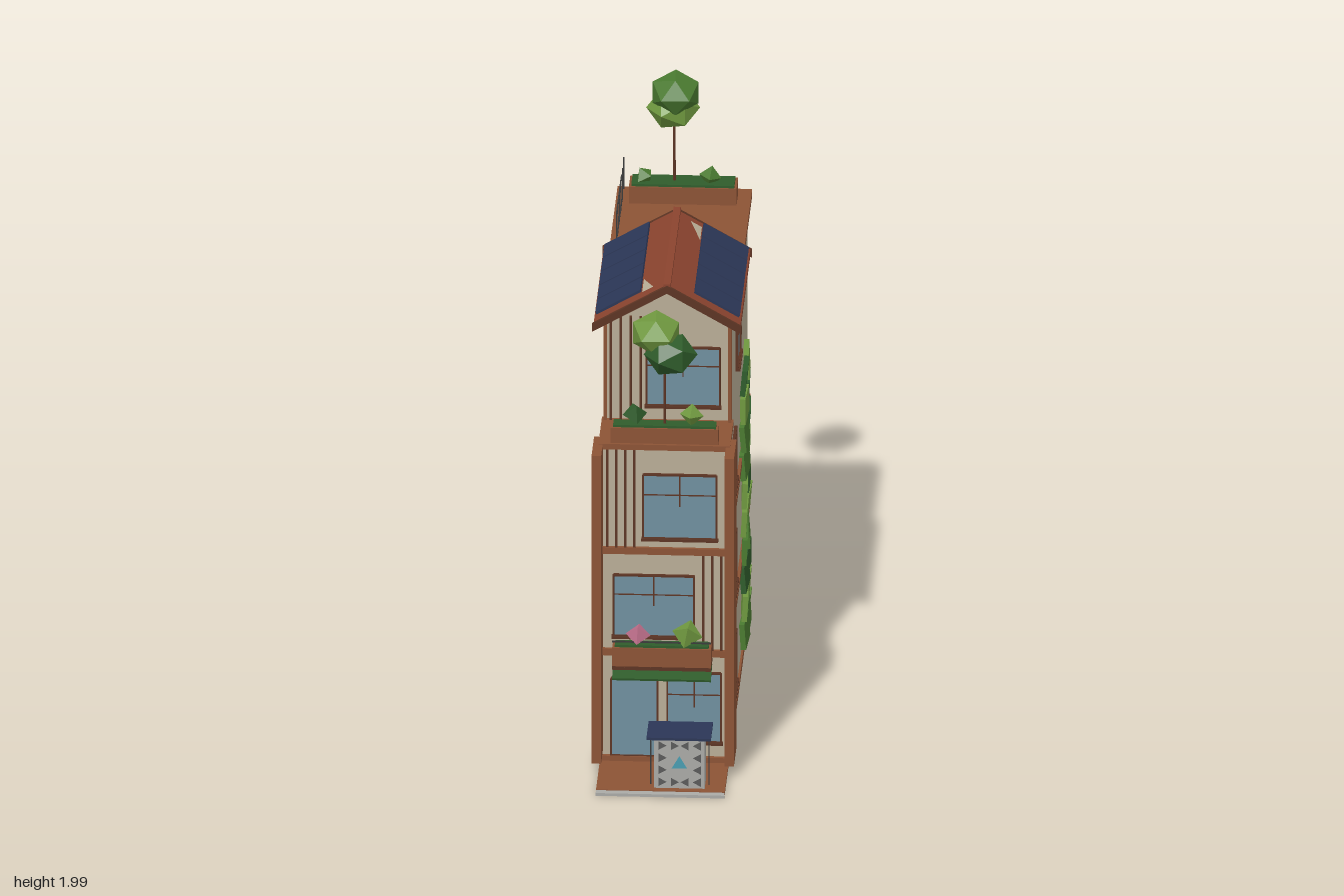
import * as THREE from 'three';

const C = {
  wall: 0xb9ad96, brown: 0x8c5335, dark: 0x5c3423, roof: 0x8a432e, glass: 0x6f8f9f, navy: 0x2b3656,
  g1: 0x6f983f, g2: 0x4a7a30, g3: 0x2f5c2b, metal: 0x3a3a3a, grey: 0xaaaaa6, lawn: 0x5f8a3c,
  pink: 0xc0708c, teal: 0x4a9db0, char: 0x5a5a5a,
};
const mats = {};
const mat = (c) => (mats[c] ??= new THREE.MeshStandardMaterial({ color: C[c], flatShading: true, side: THREE.DoubleSide }));

let seed = 7;
const rnd = () => (seed = (seed * 16807) % 2147483647) / 2147483647;

export function createModel() {
  const root = new THREE.Group();
  root.name = 'townHouse';

  const add = (name, geo, c, parent = root) => {
    const m = new THREE.Mesh(geo, mat(c));
    m.name = name;
    parent.add(m);
    return m;
  };
  // Box given by its limits on each axis
  const box = (name, c, x0, x1, y0, y1, z0, z1, parent) => {
    const m = add(name, new THREE.BoxGeometry(x1 - x0, y1 - y0, z1 - z0), c, parent);
    m.position.set((x0 + x1) / 2, (y0 + y1) / 2, (z0 + z1) / 2);
    return m;
  };
  const extrude = (name, c, pts, z0, z1) => {
    const shape = new THREE.Shape(pts.map(([x, y]) => new THREE.Vector2(x, y)));
    const m = add(name, new THREE.ExtrudeGeometry(shape, { depth: z1 - z0, bevelEnabled: false }), c);
    m.position.z = z0;
    return m;
  };

  // Ground strip
  box('frontPaving', 'brown', -0.215, 0.215, 0, 0.012, 0.55, 0.86);
  box('kerb', 'grey', -0.215, 0.215, 0, 0.01, 0.86, 0.885);
  box('rearPath', 'grey', -0.215, 0.215, 0, 0.01, -0.71, -0.66);
  box('lawn', 'lawn', -0.215, 0.215, 0, 0.012, -0.845, -0.71);

  // Walls and floor bands
  box('plinth', 'brown', -0.217, 0.217, 0, 0.03, -0.675, 0.62);
  box('lowerWalls', 'wall', -0.21, 0.21, 0.03, 1.15, -0.67, 0.605);
  box('upperWalls', 'wall', -0.21, 0.21, 1.15, 1.51, -0.67, 0.4);
  for (const y of [0.395, 0.765]) box('floorBand', 'brown', -0.22, 0.22, y, y + 0.024, -0.68, 0.617);
  box('terraceFloor', 'brown', -0.22, 0.22, 1.145, 1.165, 0.39, 0.615);
  box('flatRoof', 'brown', -0.225, 0.225, 1.51, 1.535, -0.68, -0.19);
  for (const s of [-1, 1]) {
    const fin = box('sideFin', 'brown', -0.016, 0.016, 0.04, 1.162, 0.55, 0.71);
    fin.position.x = s * 0.222;
  }

  // Gabled roof
  extrude('gable', 'wall', [[-0.21, 1.5], [0.21, 1.5], [0, 1.645]], -0.19, 0.4);
  extrude('pitchedRoof', 'roof',
    [[-0.245, 1.508], [-0.245, 1.53], [0, 1.67], [0.245, 1.53], [0.245, 1.508], [0, 1.648]], -0.2, 0.44);
  for (const z of [-0.203, 0.437]) {
    extrude('bargeBoard', 'dark',
      [[-0.25, 1.5], [-0.25, 1.528], [0, 1.672], [0.25, 1.528], [0.25, 1.5], [0, 1.644]], z, z + 0.012);
  }
  box('ridge', 'roof', -0.012, 0.012, 1.66, 1.676, -0.2, 0.445);
  const pitch = Math.atan2(0.14, 0.245);
  for (const s of [-1, 1]) {
    const slope = new THREE.Group();
    slope.name = 'solarArray';
    slope.position.set(s * 0.163, 1.585, 0);
    slope.rotation.z = -s * pitch;
    root.add(slope);
    for (let i = 0; i < 5; i++) {
      const z = -0.167 + i * 0.115;
      box('solarPanel', 'navy', -0.086, 0.086, 0, 0.008, z, z + 0.108, slope);
    }
    // Pale flashing beside the panels
    const tri = new THREE.Shape([[0.045, 0.15], [0.088, 0.15], [0.088, 0.04]].map((p) => new THREE.Vector2(...p)));
    const patch = add('roofFlashing', new THREE.ShapeGeometry(tri).rotateX(-Math.PI / 2), 'wall');
    patch.geometry.translate(-0.0665, 0, 0);
    patch.rotation.order = 'YXZ';
    patch.rotation.set(0, s > 0 ? 0 : Math.PI, -pitch);
    patch.position.set(s * 0.0665, 1.637, s > 0 ? 0 : 0.25);
  }

  // Framed window facing +z, then turned to its wall
  const pane = (name, w, h, x, y, z, turn = 0, sill = true) => {
    const g = new THREE.Group();
    g.name = name;
    const a = w / 2, b = h / 2, t = 0.006;
    box('glass', 'glass', -a, a, -b, b, -0.005, 0.005, g);
    for (const s of [-1, 1]) {
      box('frameSide', 'dark', s * a - t / 2, s * a + t / 2, -b, b, -0.005, 0.01, g);
      box('frameRail', 'dark', -a, a, s * b - t / 2, s * b + t / 2, -0.005, 0.01, g);
    }
    if (sill) {
      box('mullion', 'dark', -0.002, 0.002, 0, b, 0, 0.007, g);
      box('transom', 'dark', -a, a, b * 0.35, b * 0.35 + 0.004, 0, 0.007, g);
      box('sill', 'dark', -a - 0.006, a + 0.006, -b - 0.009, -b, -0.005, 0.016, g);
    }
    g.position.set(x, y, z);
    g.rotation.y = turn;
    root.add(g);
  };
  for (const s of [-1, 1]) {
    for (const y of [0.21, 0.577, 0.948]) pane('sideWindow', 0.17, 0.18, s * 0.21, y, 0.245, s * Math.PI / 2);
    pane('sideWindow', 0.16, 0.175, s * 0.21, 1.3, -0.005, s * Math.PI / 2);
  }
  for (const y of [0.577, 0.955]) pane('rearWindow', 0.2, 0.18, 0, y, -0.67, Math.PI);
  pane('frontDoor', 0.155, 0.28, -0.1, 0.17, 0.607, 0, false);
  pane('frontWindow', 0.18, 0.25, 0.1, 0.21, 0.607);
  pane('frontWindow', 0.27, 0.22, -0.035, 0.577, 0.607);
  pane('frontWindow', 0.245, 0.23, 0.052, 0.94, 0.607);
  pane('terraceDoor', 0.245, 0.21, 0.052, 1.325, 0.402);

  // Vertical slats on the front
  const slats = (x0, x1, n, y0, y1, z) => {
    for (let i = 0; i < n; i++) {
      const x = x0 + ((x1 - x0) * i) / (n - 1);
      box('slat', 'dark', x - 0.004, x + 0.004, y0, y1, z, z + 0.018);
    }
  };
  slats(0.13, 0.19, 3, 0.42, 0.765, 0.6);
  slats(-0.19, -0.1, 4, 0.79, 1.145, 0.6);
  slats(-0.19, -0.09, 4, 1.165, 1.54, 0.397);
  for (const s of [-1, 1]) box('cornerTrim', 'brown', s * 0.208 - 0.006, s * 0.208 + 0.006, 1.165, 1.51, 0.395, 0.418);

  // Awning
  const awning = box('awning', 'g3', -0.17, 0.16, 0.352, 0.36, 0.605, 0.7);
  awning.rotation.x = 0.25;

  // Planters with hedge and small bushes
  const planter = (x0, x1, y0, y1, z0, z1) => {
    box('planter', 'brown', x0, x1, y0, y1, z0, z1);
    box('hedge', 'g3', x0 + 0.008, x1 - 0.008, y1 - 0.01, y1 + 0.008, z0 + 0.006, z1 - 0.006);
  };
  const bush = (x, y, z, r, c) => {
    const m = add('bush', new THREE.OctahedronGeometry(r, 0), c);
    m.position.set(x, y, z);
    m.rotation.set(rnd() * 2, rnd() * 2, rnd() * 2);
  };
  planter(-0.18, 0.18, 1.165, 1.22, 0.545, 0.605);
  planter(-0.17, 0.16, 0.385, 0.455, 0.635, 0.69);
  box('balconyFloor', 'dark', -0.17, 0.16, 0.375, 0.388, 0.6, 0.69);
  box('balconyRail', 'metal', -0.17, 0.16, 0.475, 0.48, 0.686, 0.69);
  planter(-0.18, 0.18, 1.535, 1.595, -0.635, -0.54);
  bush(-0.1, 1.26, 0.575, 0.042, 'g3');
  bush(0.09, 1.26, 0.575, 0.04, 'g1');
  bush(-0.085, 0.495, 0.665, 0.042, 'pink');
  bush(0.08, 0.5, 0.665, 0.052, 'g1');
  bush(-0.13, 1.615, -0.587, 0.035, 'g2');
  bush(0.09, 1.62, -0.587, 0.038, 'g2');

  // Trees: thin trunk and two faceted crowns
  const tree = (x, z, y0, lower, upper, cLow, cUp) => {
    const h = lower[1] - y0;
    const trunk = add('trunk', new THREE.CylinderGeometry(0.004, 0.005, h, 5), 'dark');
    trunk.position.set(x, y0 + h / 2, z);
    [[lower, cLow], [upper, cUp]].forEach(([p, c], i) => {
      const m = add('crown', new THREE.IcosahedronGeometry(0.09, 0), c);
      m.scale.y = 0.82;
      m.position.set(...p);
      m.rotation.y = 0.6 + i;
    });
  };
  tree(-0.03, -0.587, 1.59, [-0.035, 1.862, -0.6], [-0.025, 1.93, -0.57], 'g1', 'g2');
  tree(0, 0.575, 1.21, [0.02, 1.485, 0.588], [-0.03, 1.55, 0.56], 'g3', 'g1');
  tree(0.08, -0.77, 0.01, [0.085, 0.255, -0.795], [0.07, 0.325, -0.79], 'g2', 'g3');

  // Living walls on both sides
  for (const s of [-1, 1]) {
    for (let row = 0; row < 10; row++) {
      for (let col = 0; col < 2; col++) {
        const c = ['g1', 'g2', 'g3', 'g2'][Math.floor(rnd() * 4)];
        const tile = add('livingWallTile', new THREE.BoxGeometry(0.018, 0.092, 0.132), c);
        tile.position.set(s * 0.225, 0.135 + row * 0.1027, -0.347 + col * 0.138);
        tile.rotation.set(0, (rnd() - 0.5) * 0.14, (rnd() - 0.5) * 0.2);
      }
    }
  }

  // Roof railing
  for (const y of [1.555, 1.645]) box('rail', 'metal', -0.205, -0.2, y, y + 0.004, -0.52, -0.2);
  for (let i = 0; i < 6; i++) {
    const z = -0.2 - i * 0.092;
    box('railPost', 'metal', -0.205, -0.201, 1.535, 1.65, z - 0.002, z + 0.002);
  }

  // Kiosk with triangle pattern and a solar canopy
  box('kiosk', 'grey', -0.022, 0.147, 0.01, 0.195, 0.765, 0.835);
  const triangle = (x, y, r, c, turn) => {
    const m = add('kioskTriangle', new THREE.CircleGeometry(r, 3), c);
    m.position.set(x, y, 0.837);
    m.rotation.z = turn;
  };
  for (let r = 0; r < 4; r++) {
    for (let c = 0; c < 4; c++) {
      if (c % 3 && r % 3) continue;
      triangle(0.002 + c * 0.041, 0.035 + r * 0.044, 0.018, 'char', c < 2 ? 0 : Math.PI);
    }
  }
  triangle(0.0625, 0.1, 0.03, 'teal', Math.PI / 2);
  for (const x of [-0.035, 0.16]) box('canopyPost', 'metal', x - 0.002, x + 0.002, 0.01, 0.21, 0.8, 0.804);
  box('canopy', 'navy', -0.045, 0.17, 0.207, 0.216, 0.745, 0.885);

  return root;
}
